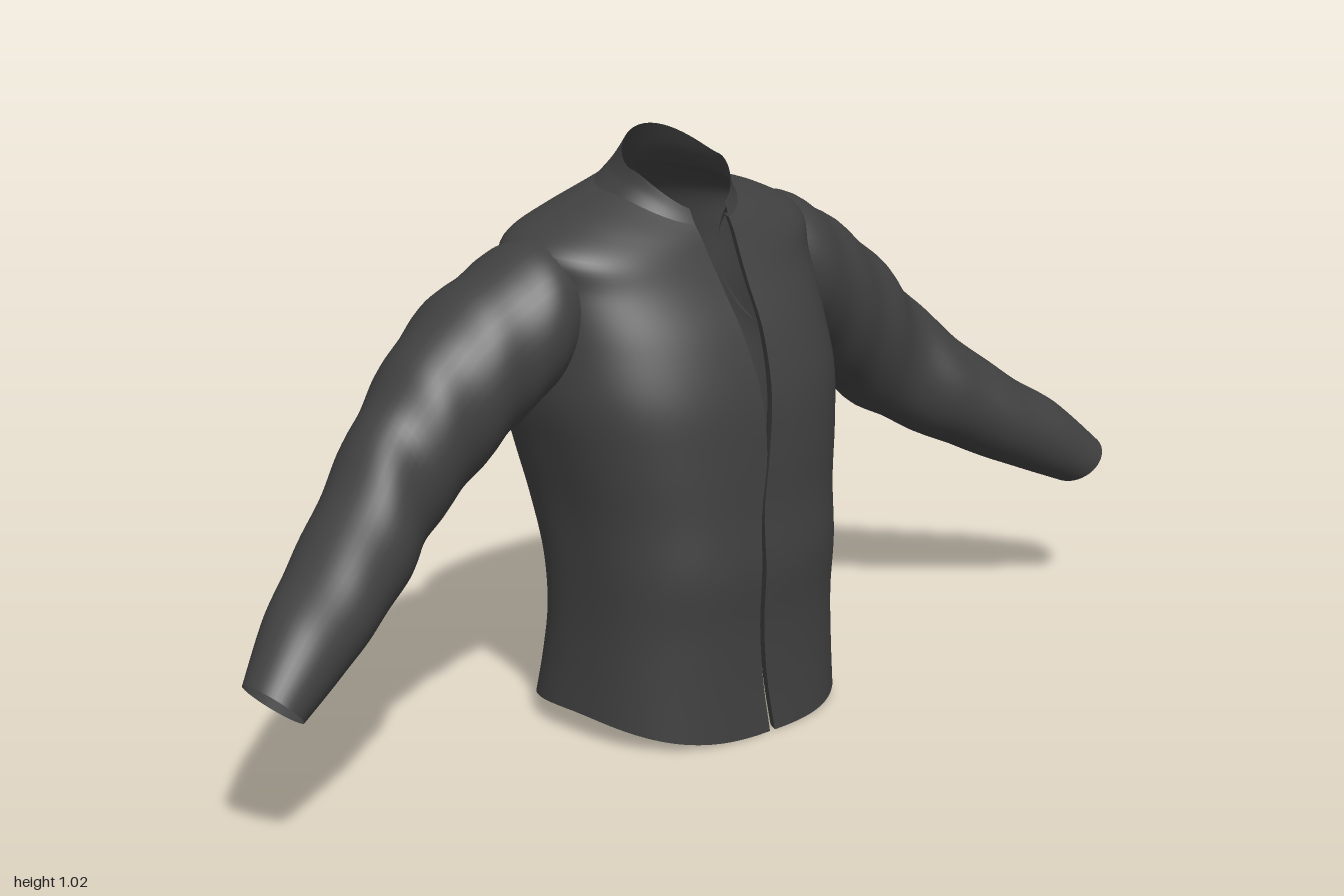
import * as THREE from 'three';

const cloth = new THREE.MeshStandardMaterial({ color: 0x404040, side: THREE.DoubleSide });

// Smooth blend through a list of key rows, t in 0..1
function blend(rows, t) {
  const f = t * (rows.length - 1);
  const i = Math.min(Math.floor(f), rows.length - 2);
  const k = f - i;
  const at = (n) => rows[Math.max(0, Math.min(rows.length - 1, n))];
  return rows[0].map((_, c) => {
    const [a, b, d, e] = [at(i - 1)[c], at(i)[c], at(i + 1)[c], at(i + 2)[c]];
    return b + 0.5 * k * (d - a + k * (2 * a - 5 * b + 4 * d - e + k * (3 * (b - d) + e - a)));
  });
}

// Surface from point(u, v): u runs around, v runs along
function loft(name, point, around, along, closed = false) {
  const pos = [], index = [];
  const cols = closed ? around : around + 1;
  for (let i = 0; i <= along; i++)
    for (let j = 0; j < cols; j++) pos.push(...point(j / around, i / along));
  for (let i = 0; i < along; i++)
    for (let j = 0; j < around; j++) {
      const a = i * cols + j, b = i * cols + ((j + 1) % cols);
      index.push(a, b, a + cols, b, b + cols, a + cols);
    }
  const geo = new THREE.BufferGeometry();
  geo.setAttribute('position', new THREE.Float32BufferAttribute(pos, 3));
  geo.setIndex(index);
  geo.computeVertexNormals();
  const mesh = new THREE.Mesh(geo, cloth);
  mesh.name = name;
  return mesh;
}

// Key rows: y front, y side, y back, half width, z front, z back, z of widest point,
// half gap of the front opening, squareness, sideways shift of the opening
const BODY = [
  [0.003, 0.045, 0.022, 0.260, 0.242, -0.190, 0.02, 0.006, 2.7, 0.000],
  [0.100, 0.120, 0.110, 0.254, 0.238, -0.174, 0.03, 0.005, 2.7, -0.015],
  [0.200, 0.205, 0.200, 0.251, 0.238, -0.160, 0.03, 0.005, 2.7, -0.023],
  [0.300, 0.300, 0.300, 0.254, 0.244, -0.170, 0.03, 0.005, 2.7, -0.025],
  [0.400, 0.400, 0.400, 0.262, 0.236, -0.200, 0.01, 0.003, 2.7, -0.020],
  [0.500, 0.500, 0.500, 0.282, 0.232, -0.230, -0.01, 0.003, 2.6, -0.005],
  [0.600, 0.600, 0.600, 0.303, 0.222, -0.245, -0.04, 0.012, 2.5, 0],
  [0.700, 0.700, 0.700, 0.302, 0.190, -0.245, -0.05, 0.023, 2.4, 0],
  [0.780, 0.790, 0.790, 0.302, 0.145, -0.232, -0.06, 0.030, 2.4, 0],
  [0.825, 0.855, 0.860, 0.300, 0.120, -0.208, -0.06, 0.035, 2.4, 0],
  [0.855, 0.898, 0.900, 0.220, 0.105, -0.182, -0.05, 0.038, 2.3, 0],
  [0.875, 0.928, 0.945, 0.125, 0.094, -0.136, -0.03, 0.040, 2.1, 0],
];
const COLLAR = [
  BODY[BODY.length - 1],
  [0.885, 0.948, 0.982, 0.109, 0.090, -0.108, -0.01, 0.041, 2, 0],
  [0.895, 0.968, 1.022, 0.101, 0.085, -0.080, 0.00, 0.042, 2, 0],
];

// Point on a ring that starts and ends at the front opening
const wrap = (rows) => (u, v) => {
  const [yF, yS, yB, w, zF, zB, zM, gap, n, shift] = blend(rows, v);
  const start = Math.asin(Math.pow(gap / w, n / 2));
  const a = start + u * (2 * Math.PI - 2 * start);
  const s = Math.sin(a), c = Math.cos(a);
  const bend = (q) => Math.sign(q) * Math.pow(Math.abs(q), 2 / n);
  const front = Math.max(0, c);
  return [
    w * bend(s) + shift * Math.pow(front, 8),
    yS + ((c > 0 ? yF : yB) - yS) * Math.pow(Math.abs(c), 1.5),
    zM + (c > 0 ? zF - zM : zM - zB) * bend(c),
  ];
};

// Sleeve rows: top x, top y, bottom x, bottom y, z back, z front
const SLEEVE = [
  [0.255, 0.872, 0.270, 0.625, -0.165, 0.055],
  [0.310, 0.864, 0.312, 0.598, -0.182, 0.070],
  [0.375, 0.830, 0.345, 0.570, -0.190, 0.062],
  [0.460, 0.780, 0.400, 0.523, -0.200, 0.052],
  [0.550, 0.705, 0.470, 0.468, -0.178, 0.045],
  [0.630, 0.622, 0.545, 0.412, -0.155, 0.042],
  [0.720, 0.532, 0.632, 0.362, -0.122, 0.085],
  [0.820, 0.450, 0.730, 0.312, -0.075, 0.120],
  [0.915, 0.386, 0.822, 0.270, -0.018, 0.145],
  [1.000, 0.303, 0.922, 0.228, 0.045, 0.163],
];

const sleevePoint = (side) => (u, v) => {
  const [tx, ty, bx, by, zB, zF] = blend(SLEEVE, v);
  const a = u * 2 * Math.PI;
  // Soft cloth folds, strongest around the elbow
  const fold = 1 + 0.025 * Math.sin(v * 42 + 2 * Math.cos(a)) * Math.sin(Math.PI * v) ** 2;
  const c = 0.5 * Math.cos(a) * fold, s = 0.5 * Math.sin(a) * fold;
  return [
    side * ((tx + bx) / 2 + c * (tx - bx)),
    (ty + by) / 2 + c * (ty - by),
    (zB + zF) / 2 + side * s * (zF - zB),
  ];
};

export function createModel() {
  const jacket = new THREE.Group();
  jacket.name = 'jacket';
  const body = wrap(BODY);
  jacket.add(loft('body', body, 96, 66));
  jacket.add(loft('collar', wrap(COLLAR), 96, 10));

  for (const side of [1, -1]) {
    const label = side > 0 ? 'left' : 'right';
    jacket.add(loft(label + 'Sleeve', sleevePoint(side), 40, 72, true));

    // Facing folded inward along the front edge
    const facing = (u, v) => {
      const [x, y, z] = body(side > 0 ? 0 : 1, v);
      return [x + side * 0.022 * u, y, z - 0.03 * Math.sin(u * Math.PI / 2)];
    };
    jacket.add(loft(label + 'FrontFacing', facing, 4, 66));
  }
  return jacket;
}
